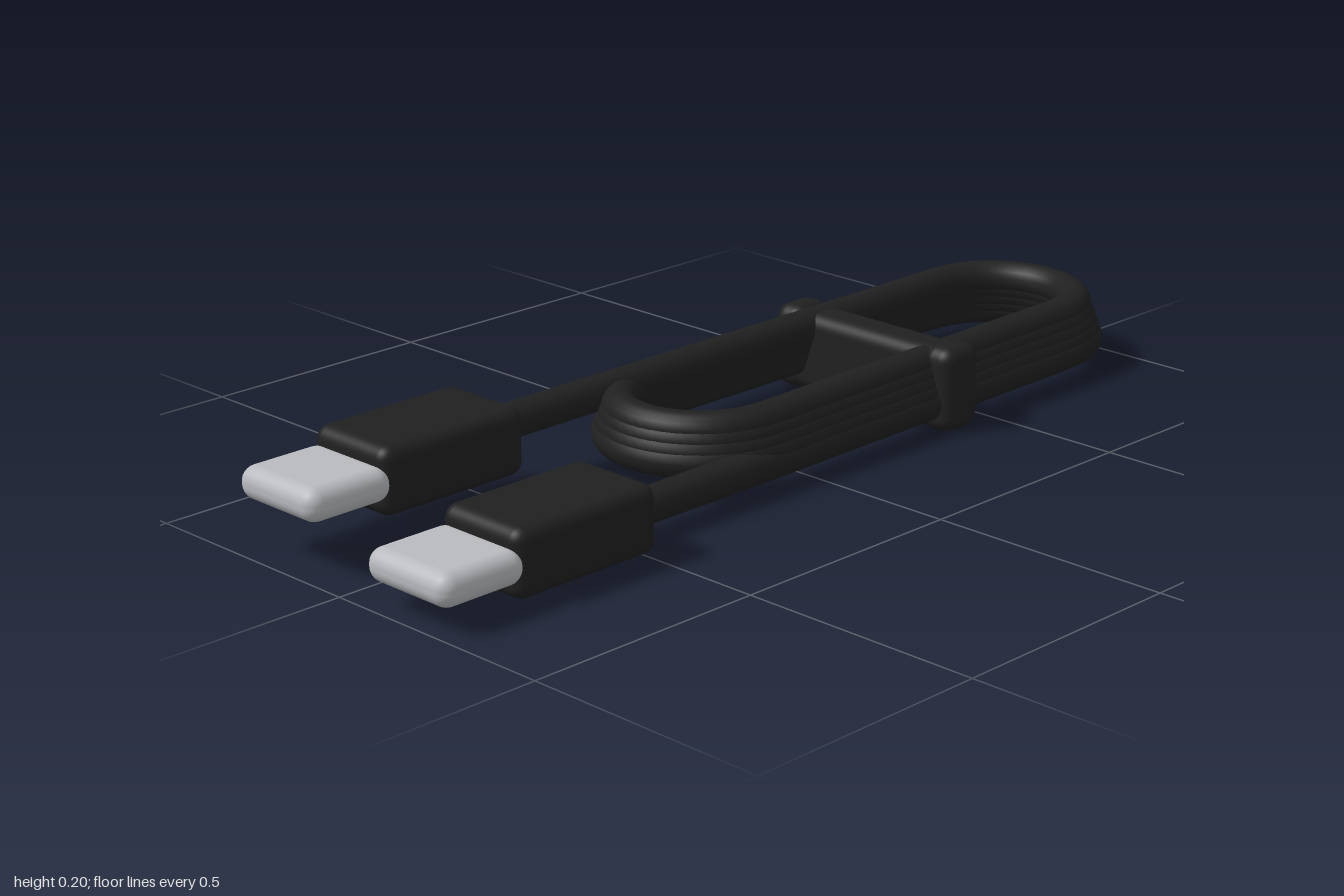
import * as THREE from 'three';
import { RoundedBoxGeometry } from 'three/addons/geometries/RoundedBoxGeometry.js';

export function createModel() {
  const model = new THREE.Group();
  model.name = 'coiledCable';

  const rubber = new THREE.MeshStandardMaterial({ color: 0x202020 });
  rubber.name = 'black rubber';
  const metal = new THREE.MeshStandardMaterial({ color: 0xb8babe });
  metal.name = 'silver metal';

  const add = (name, geometry, material, parent = model) => {
    const mesh = new THREE.Mesh(geometry, material);
    mesh.name = name;
    parent.add(mesh);
    return mesh;
  };
  const roundedBox = (name, size, radius, position, material, parent) =>
    add(name, new RoundedBoxGeometry(...size, 4, radius), material, parent).position.set(...position);

  // Cable: five racetrack turns that rise and tighten, with a straight lead at each end
  const turns = 5, cx = -0.018, backZ = -0.78, frontZ = 0.095;
  const yLow = 0.056, yHigh = 0.139, wide = 0.186, narrow = 0.157;
  const halfTurns = turns * 2 - 1;
  const points = [];
  for (const z of [0.56, 0.4, 0.25]) points.push(new THREE.Vector3(cx + wide, yLow, z));
  for (let i = 0; i <= halfTurns; i++) {
    const side = i % 2 === 0 ? 1 : -1;           // right-hand or left-hand leg
    const place = (f, x, z0, dz) => {
      const t = Math.min(1, (i + f) / halfTurns);
      const r = THREE.MathUtils.lerp(wide, narrow, t);
      points.push(new THREE.Vector3(cx + r * x, THREE.MathUtils.lerp(yLow, yHigh, t), z0 + r * dz));
    };
    const start = side > 0 ? frontZ : backZ;
    const end = side > 0 ? backZ : frontZ;
    for (let k = 0; k < 6; k++) place(0.6 * k / 6, side, start + (end - start) * k / 6, 0);
    if (i === halfTurns) break;
    for (let k = 0; k < 12; k++) {               // bend at the end of the leg
      const a = Math.PI * k / 12;
      place(0.6 + 0.4 * k / 12, side * Math.cos(a), end, -side * Math.sin(a));
    }
  }
  for (const z of [frontZ, 0.25, 0.4, 0.56]) points.push(new THREE.Vector3(cx - narrow, yHigh, z));
  const path = new THREE.CatmullRomCurve3(points, false, 'centripetal');
  path.arcLengthDivisions = 2000;
  add('cable', new THREE.TubeGeometry(path, 700, 0.035, 16), rubber);

  // Tie across the coil, bulging where it wraps round the two legs
  const tie = new THREE.Group();
  tie.name = 'tie';
  model.add(tie);
  roundedBox('tieBand', [0.45, 0.168, 0.092], 0.03, [cx, 0.085, -0.395], rubber, tie);
  for (const s of [-1, 1]) {
    roundedBox('tieWrap', [0.075, 0.175, 0.102], 0.03, [cx + s * 0.2, 0.0875, -0.395], rubber, tie);
  }

  // Connectors: moulded grip and rounded metal plug
  for (const [side, x, y] of [['left', 0.173, 0.08], ['right', -0.175, 0.138]]) {
    const connector = new THREE.Group();
    connector.name = side + 'Connector';
    connector.position.set(x, y, 0);
    model.add(connector);
    roundedBox('grip', [0.206, 0.133, 0.334], 0.027, [0, 0, 0.664], rubber, connector);
    roundedBox('plug', [0.214, 0.065, 0.19], 0.03, [0, 0, 0.905], metal, connector);
  }

  return model;
}
